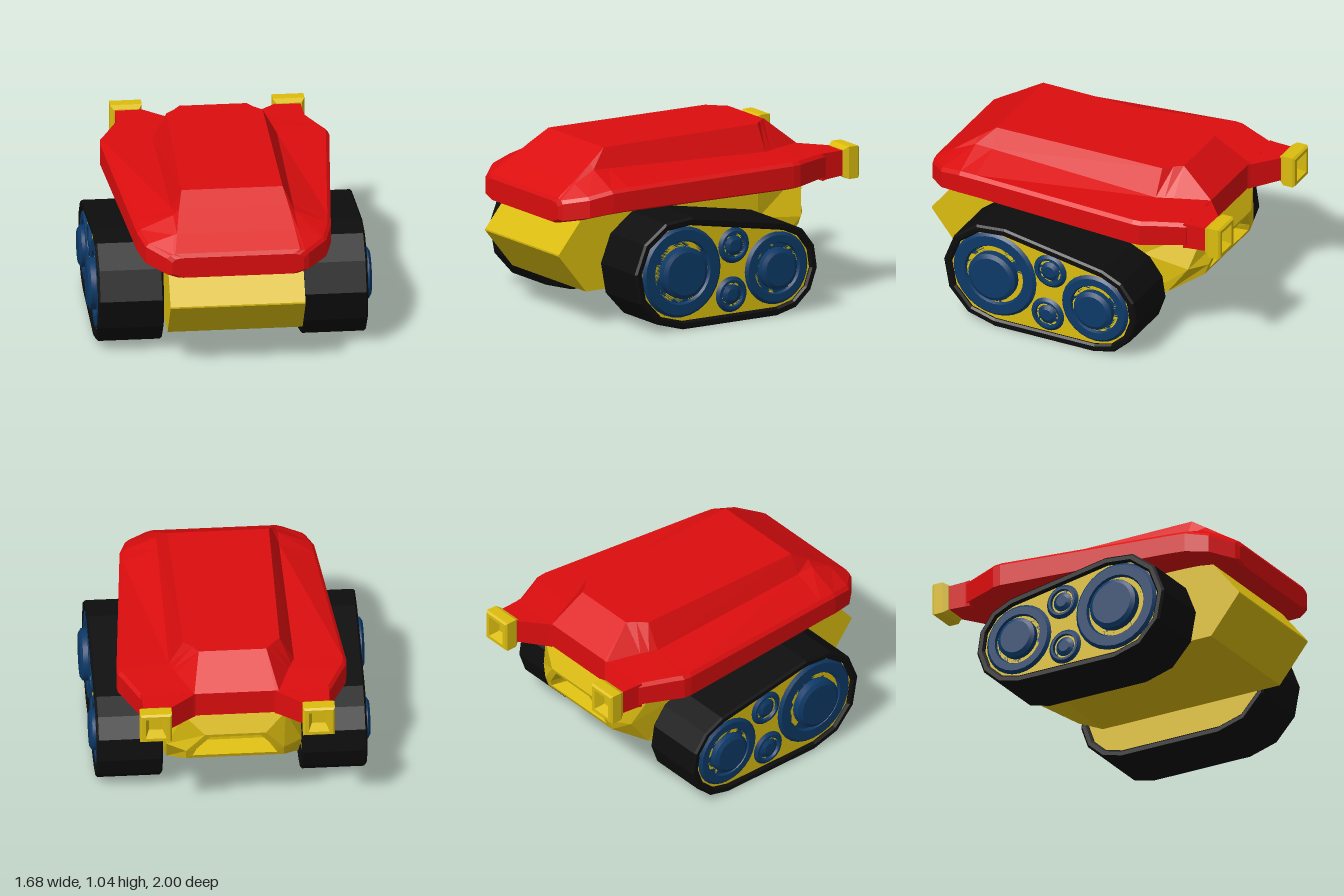
import * as THREE from 'three';
import { toCreasedNormals } from 'three/addons/utils/BufferGeometryUtils.js';

const mat = (name, color) => {
  const m = new THREE.MeshStandardMaterial({ color });
  m.name = name;
  return m;
};

// Skin rings of [x, y, z], ordered front to back and counter-clockwise seen from the front
function loft(rings) {
  const pos = [];
  const tri = (a, b, c) => pos.push(...a, ...b, ...c);
  const n = rings[0].length;
  for (let r = 0; r + 1 < rings.length; r++) {
    const a = rings[r], b = rings[r + 1];
    for (let i = 0; i < n; i++) {
      const j = (i + 1) % n;
      tri(a[i], b[i], b[j]);
      tri(a[i], b[j], a[j]);
    }
  }
  const first = rings[0], last = rings[rings.length - 1];
  for (let i = 1; i + 1 < n; i++) {
    tri(first[0], first[i], first[i + 1]);
    tri(last[0], last[i + 1], last[i]);
  }
  const g = new THREE.BufferGeometry();
  g.setAttribute('position', new THREE.Float32BufferAttribute(pos, 3));
  g.computeVertexNormals();
  return g;
}

// Complete a half section (bottom to top on +x) with its mirror image
const mirrored = (half) => [...half, ...half.slice().reverse().map(([x, y, z]) => [-x, y, z])];

// Rectangular ring
const rect = (x0, x1, y0, y1, z) => [[x0, y0, z], [x1, y0, z], [x1, y1, z], [x0, y1, z]];

// Belt outline around the front and rear wheels, in (z, y), shrunk by inset
function beltPoints(inset) {
  const pts = [];
  const arc = (cz, cy, r, from, to) => {
    for (let i = 0; i <= 6; i++) {
      const a = THREE.MathUtils.degToRad(from + ((to - from) * i) / 6);
      pts.push(new THREE.Vector2(cz + (r - inset) * Math.cos(a), cy + (r - inset) * Math.sin(a)));
    }
  };
  arc(0.38, 0.343, 0.34, -90, 100.7);
  arc(-0.28, 0.286, 0.283, 100.7, 270);
  return pts;
}

// Extrude a (z, y) shape across x, centred on x = 0
function extrudeAcross(shape, width, bevel) {
  const g = new THREE.ExtrudeGeometry(shape, {
    depth: width - 2 * bevel, bevelEnabled: bevel > 0, bevelSize: bevel,
    bevelThickness: bevel, bevelOffset: -bevel, bevelSegments: 1,
  });
  g.translate(0, 0, -(width - 2 * bevel) / 2);
  g.rotateY(-Math.PI / 2);
  return g;
}

// Wheel disc with a raised rim, groove and hub, facing +x
function wheelGeometry(R, H, hubHeight) {
  const profile = [
    [R, 0], [R, 0.08], [R - 0.018, 0.097], [H * 1.26, 0.097], [H * 1.2, 0.08], [H, 0.08],
    [H, hubHeight - 0.015], [H - 0.025, hubHeight], [0, hubHeight],
  ].map(([x, y]) => new THREE.Vector2(x, y));
  const g = new THREE.LatheGeometry(profile, 28);
  g.rotateZ(-Math.PI / 2);
  return toCreasedNormals(g, 0.5);
}

export function createModel() {
  const red = mat('red shell', 0xdc0d0e);
  const yellow = mat('yellow hull', 0xdcbd0f);
  const blue = mat('blue wheels', 0x0d3a68);
  const black = mat('black rubber', 0x0d0d0d);

  const model = new THREE.Group();
  model.name = 'trackedVehicle';
  const add = (parent, name, geometry, material) => {
    const mesh = new THREE.Mesh(geometry, material);
    mesh.name = name;
    parent.add(mesh);
    return mesh;
  };

  // Hull: wedge nose, straight body, chamfered tail with a sunken pocket
  add(model, 'hull', loft([
    [[0.4, 0.445, 1], [0.4, 0.45, 1], [0.4, 0.455, 1]],
    [[0.4, 0.21, 0.81], [0.4, 0.45, 0.81], [0.4, 0.69, 0.81]],
    [[0.4, 0.21, -0.4], [0.4, 0.5, -0.4], [0.4, 0.72, -0.4]],
    [[0.39, 0.28, -0.56], [0.4, 0.47, -0.7], [0.3, 0.72, -0.77]],
    [[0.29, 0.4, -0.755], [0.29, 0.47, -0.78], [0.18, 0.61, -0.82]],
    [[0.25, 0.425, -0.765], [0.24, 0.47, -0.78], [0.15, 0.59, -0.815]],
    [[0.19, 0.45, -0.65], [0.18, 0.49, -0.65], [0.12, 0.56, -0.65]],
  ].map(mirrored)), yellow);

  // Shell sections: z, rim x, rim bottom, rim top, hump base x/y, hump top x/y
  const sections = [
    [1.0, 0.39, 0.645, 0.765, 0.34, 0.77, 0.32, 0.772],
    [0.985, 0.42, 0.64, 0.785, 0.38, 0.79, 0.37, 0.795],
    [0.87, 0.535, 0.665, 0.815, 0.37, 0.865, 0.35, 0.87],
    [0.73, 0.575, 0.685, 0.845, 0.36, 0.93, 0.325, 0.965],
    [0.62, 0.585, 0.69, 0.85, 0.36, 0.925, 0.3, 1.04],
    [-0.47, 0.68, 0.705, 0.88, 0.37, 0.885, 0.285, 1.04],
    [-0.52, 0.675, 0.705, 0.88, 0.35, 0.885, 0.235, 1.04],
    [-0.57, 0.65, 0.705, 0.88, 0.33, 0.885, 0.2, 1.04],
    [-0.77, 0.56, 0.71, 0.875, 0.26, 0.876, 0.24, 0.877],
  ];
  add(model, 'shell', loft(sections.map(([z, x, yb, yt, bx, by, tx, ty]) => mirrored([
    [x - 0.07, yb, z], [x, yb + 0.025, z], [x, yt - 0.02, z], [x - 0.02, yt, z], [bx, by, z], [tx, ty, z],
  ]))), red);

  // Belt with an open middle, and the plate that fills it
  const beltShape = new THREE.Shape(beltPoints(0));
  beltShape.holes.push(new THREE.Path(beltPoints(0.05)));
  const beltGeometry = extrudeAcross(beltShape, 0.39, 0.012);
  const plateGeometry = extrudeAcross(new THREE.Shape(beltPoints(0.045)), 0.35, 0);

  // Wheels: name, z, y, radius, hub radius, hub height
  const wheels = [
    ['frontWheel', 0.385, 0.35, 0.275, 0.155, 0.14],
    ['rearWheel', -0.28, 0.29, 0.22, 0.125, 0.13],
    ['upperRoller', 0.018, 0.465, 0.108, 0.06, 0.098],
    ['lowerRoller', 0.035, 0.17, 0.108, 0.06, 0.098],
  ].map(([name, z, y, R, H, h]) => ({ name, z, y, geometry: wheelGeometry(R, H, h) }));

  // Rear arm and its hollow nozzle
  const armGeometry = loft([
    rect(0.2, 0.56, 0.71, 0.875, -0.75),
    rect(0.25, 0.555, 0.715, 0.875, -0.78),
    rect(0.405, 0.55, 0.725, 0.875, -0.91),
  ]);
  const nozzleRing = (hx, hy, z) => rect(0.482 - hx, 0.482 + hx, 0.8 - hy, 0.8 + hy, z);
  const nozzleGeometry = loft([
    nozzleRing(0.076, 0.08, -0.895), nozzleRing(0.094, 0.098, -0.925), nozzleRing(0.094, 0.098, -0.988),
    nozzleRing(0.084, 0.088, -1), nozzleRing(0.062, 0.068, -1), nozzleRing(0.04, 0.045, -0.94),
  ]);

  for (const [label, s] of [['left', 1], ['right', -1]]) {
    const side = new THREE.Group();
    side.name = label + 'Side';
    side.scale.x = s;
    add(side, label + 'Belt', beltGeometry, black).position.x = 0.605;
    add(side, label + 'TrackPlate', plateGeometry, yellow).position.x = 0.605;
    for (const w of wheels) {
      add(side, label + '_' + w.name, w.geometry, blue).position.set(0.7, w.y, w.z);
    }
    add(side, label + 'RearArm', armGeometry, red);
    add(side, label + 'Nozzle', nozzleGeometry, yellow);
    model.add(side);
  }
  return model;
}
